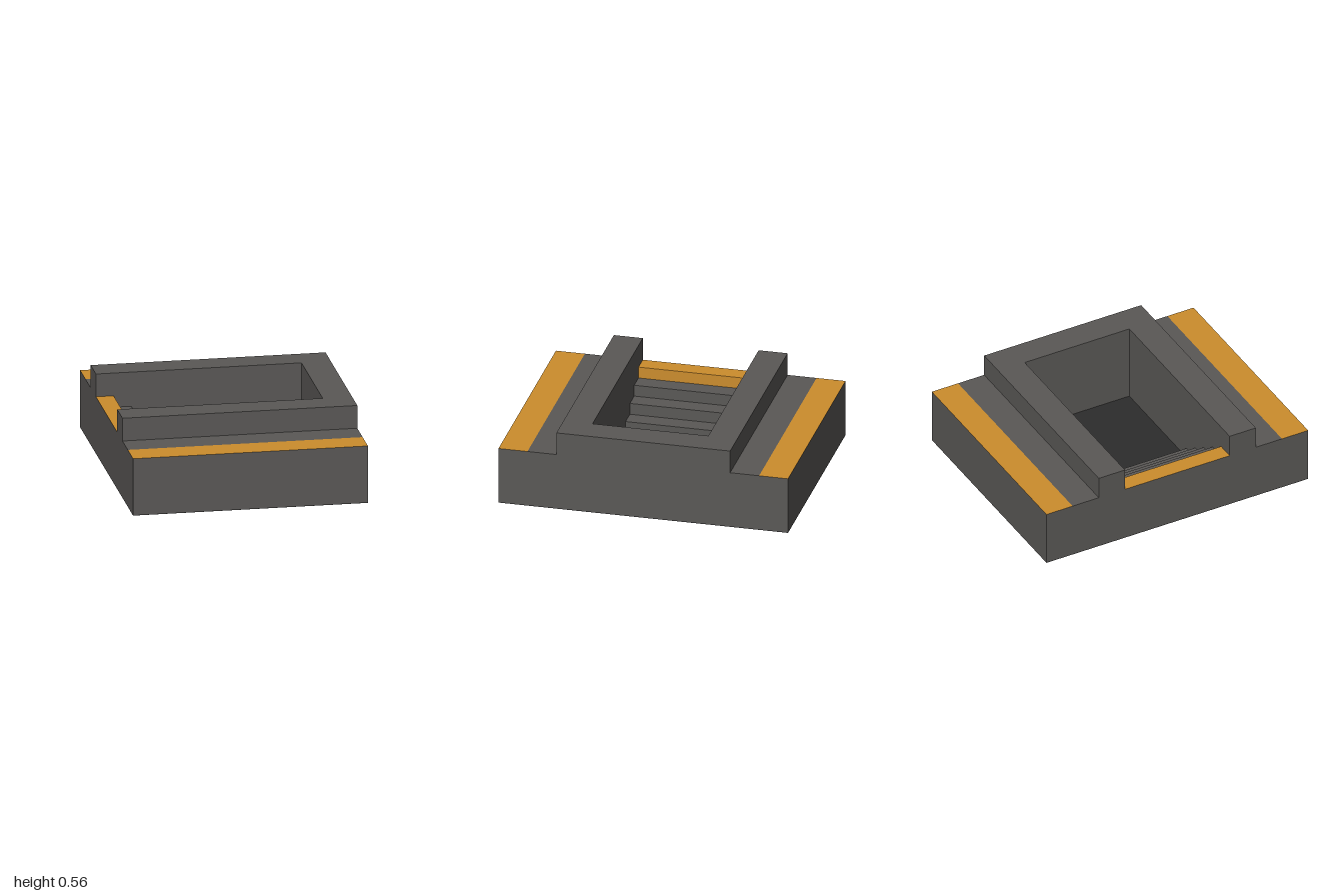
import * as THREE from 'three';

const stone = new THREE.MeshStandardMaterial({ color: 0x5a5856 });
stone.name = 'grey stone';
const orange = new THREE.MeshStandardMaterial({ color: 0xcc8d2d });
orange.name = 'orange paint';
const dark = new THREE.MeshStandardMaterial({ color: 0x2d2d2d });
dark.name = 'dark floor';

const FLOOR = 0.004; // thickness of the floor plate

// Box from its extents; material may be a list in the order +x -x +y -y +z -z
function block(name, x0, x1, y0, y1, z0, z1, material) {
  const geometry = new THREE.BoxGeometry(x1 - x0, y1 - y0, z1 - z0);
  const mesh = new THREE.Mesh(geometry, material);
  mesh.position.set((x0 + x1) / 2, (y0 + y1) / 2, (z0 + z1) / 2);
  mesh.name = name;
  return mesh;
}

// Stepped side wall: high rim next to the pit, low ledge outside it
function sideWall() {
  const profile = new THREE.Shape();
  profile.moveTo(-0.4, FLOOR);
  profile.lineTo(-0.4, 0.56);
  profile.lineTo(-0.6, 0.56);
  profile.lineTo(-0.6, 0.4);
  profile.lineTo(-0.8, 0.4);
  profile.lineTo(-0.8, FLOOR);
  const geometry = new THREE.ExtrudeGeometry(profile, { depth: 1.6, bevelEnabled: false });
  geometry.rotateY(Math.PI / 2).translate(-0.8, 0, 0); // profile -x becomes +z
  const wall = new THREE.Mesh(geometry, stone);
  wall.name = 'sideWall';

  // Outer edge with a painted top
  const edge = block('paintedEdge', -0.8, 0.8, FLOOR, 0.4, 0.8, 1,
    [stone, stone, orange, stone, stone, stone]);
  const side = new THREE.Group();
  side.add(wall, edge);
  return side;
}

export function createModel() {
  const model = new THREE.Group();
  model.name = 'steppedPit';

  // Floor plate, seen in the pit and from below
  model.add(block('floor', -0.8, 0.8, 0, FLOOR, -1, 1, dark));

  // Front and back walls, the same part turned around
  const front = sideWall();
  front.name = 'frontSide';
  const back = sideWall();
  back.name = 'backSide';
  back.rotation.y = Math.PI;
  model.add(front, back);

  // Closed end of the pit
  model.add(block('endWall', 0.6, 0.8, FLOOR, 0.56, -0.4, 0.4, stone));

  // Stairs down into the pit; the top step has a painted tread and riser
  const stairs = new THREE.Group();
  stairs.name = 'stairs';
  for (let i = 0; i < 5; i++) {
    const x = -0.8 + i * 0.12;
    const material = i === 0 ? [orange, stone, orange, stone, stone, stone] : stone;
    stairs.add(block('step' + (i + 1), x, x + 0.12, FLOOR, 0.4 - i * 0.08, -0.4, 0.4, material));
  }
  model.add(stairs);

  return model;
}
